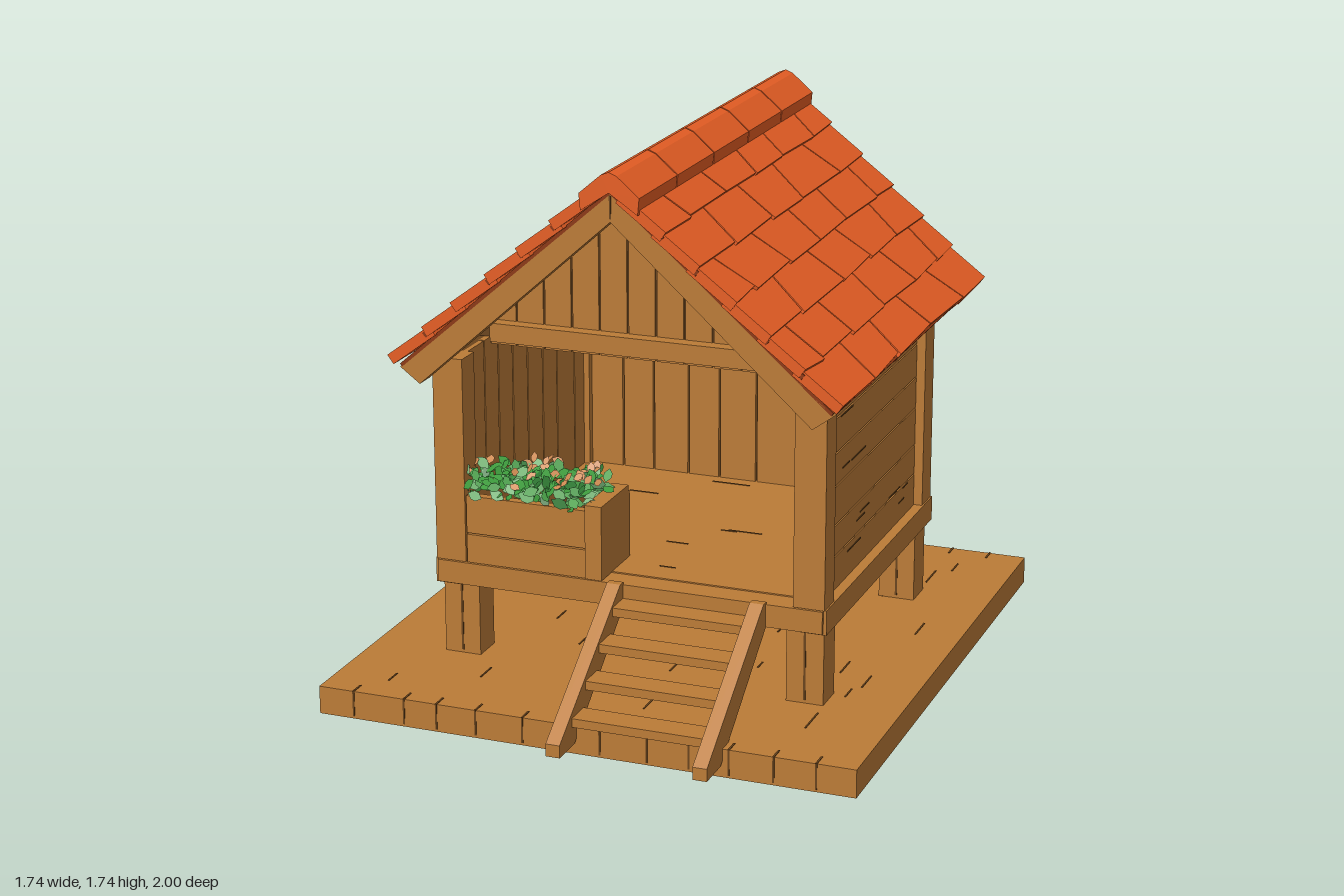
import * as THREE from 'three';

const mat = (name, color, extra = {}) => Object.assign(new THREE.MeshStandardMaterial({ color, ...extra }), { name });

export function createModel() {
  const root = new THREE.Group();
  root.name = 'woodenHut';
  const wood = mat('wood', 0xbb7b37);
  const dark = mat('darkSeam', 0x6a441c);
  const tileMat = mat('roofTile', 0xe65e24);
  const tileDark = mat('roofSeam', 0x8c3814);
  const leafA = mat('leafGreen', 0x3d9a3c, { side: THREE.DoubleSide });
  const leafB = mat('leafDarkGreen', 0x2c7430, { side: THREE.DoubleSide });
  const flower = mat('flowerTan', 0xcf8b52, { side: THREE.DoubleSide });

  let seed = 7;
  const rnd = (a = 0, b = 1) => {
    seed = (seed * 16807) % 2147483647;
    return a + (b - a) * seed / 2147483647;
  };
  const add = (name, geo, m, parent = root) => {
    const mesh = new THREE.Mesh(geo, m);
    mesh.name = name;
    parent.add(mesh);
    return mesh;
  };
  // Box given by its [min, max] range on each axis
  const box = (name, m, x, y, z, parent = root) => {
    const mesh = add(name, new THREE.BoxGeometry(x[1] - x[0], y[1] - y[0], z[1] - z[0]), m, parent);
    mesh.position.set((x[0] + x[1]) / 2, (y[0] + y[1]) / 2, (z[0] + z[1]) / 2);
    return mesh;
  };
  // Box divided into n boards along one axis, with slightly uneven widths
  const boards = (name, r, axis, n, gap) => {
    const [a, b] = r[axis], step = (b - a) / n;
    const cuts = [a];
    for (let i = 1; i < n; i++) cuts.push(a + step * (i + rnd(-0.15, 0.15)));
    cuts.push(b);
    for (let i = 0; i < n; i++) {
      const q = r.slice();
      q[axis] = [cuts[i] + (i ? gap / 2 : 0), cuts[i + 1] - (i < n - 1 ? gap / 2 : 0)];
      box(name, wood, ...q);
    }
  };
  // Outline in x and y, extruded from z0 to z1
  const prism = (name, m, pts, z0, z1, parent = root) => {
    const shape = new THREE.Shape(pts.map(p => new THREE.Vector2(...p)));
    const geo = new THREE.ExtrudeGeometry(shape, { depth: z1 - z0, bevelEnabled: false });
    geo.translate(0, 0, z0);
    return add(name, geo, m, parent);
  };
  // Roof-shaped outline: the right half (top apex to bottom apex), mirrored
  const chevron = (name, m, half, z0, z1) =>
    prism(name, m, [...half, ...half.slice(1, -1).reverse().map(([x, y]) => [-x, y])], z0, z1);

  // Ground platform: one slab with dark joints on the board ends
  box('platform', wood, [-0.87, 0.87], [0, 0.09], [-1, 0.87]);
  for (let i = 1; i < 13; i++) {
    const x = -0.87 + i * 0.134 + rnd(-0.02, 0.02);
    for (const z of [[0.82, 0.872], [-1.002, -0.95]]) box('boardJoint', dark, [x, x + 0.006], [0.008, 0.092], z);
  }
  for (let i = 0; i < 30; i++) {
    const x = rnd(-0.82, 0.82), z = rnd(-0.95, 0.7);
    box('grain', dark, [x, x + 0.005], [0.088, 0.092], [z, z + rnd(0.04, 0.13)]);
  }

  // Legs and sill frame
  for (const s of [-1, 1]) {
    const c = s * 0.57;
    for (const z of [[0.355, 0.46], [-0.59, -0.48]]) {
      box('leg', wood, [c - 0.06, c + 0.06], [0.09, 0.34], z);
      box('legSeam', dark, [c - 0.004, c + 0.003], [0.1, 0.32], [z[0] - 0.002, z[1] + 0.002]);
    }
    box('sideSill', wood, s > 0 ? [0.56, 0.645] : [-0.645, -0.56], [0.33, 0.41], [-0.62, 0.485]);
  }
  box('frontSill', wood, [-0.635, 0.635], [0.335, 0.408], [0.41, 0.495]);
  box('backSill', wood, [-0.64, 0.64], [0.335, 0.408], [-0.625, -0.54]);

  // Floor
  box('floor', wood, [-0.58, 0.58], [0.345, 0.412], [-0.56, 0.41]);
  for (let i = 0; i < 12; i++) {
    const x = rnd(-0.5, 0.35), z = rnd(-0.5, 0.38);
    box('grain', dark, [x, x + rnd(0.05, 0.14)], [0.41, 0.414], [z, z + 0.004]);
  }

  // Corner posts and side walls: level boards outside, upright boards inside
  for (const s of [-1, 1]) {
    const r = (a, b) => s > 0 ? [a, b] : [-b, -a];
    for (const z of [[0.4, 0.49], [-0.615, -0.52]]) box('cornerPost', wood, r(0.54, 0.64), [0.41, 1.07], z);
    boards('sideBoard', [r(0.59, 0.612), [0.41, 1.07], [-0.515, 0.395]], 1, 6, 0.005);
    box('sideWallCore', dark, r(0.575, 0.606), [0.41, 1.07], [-0.52, 0.4]);
    boards('sideLining', [r(0.56, 0.58), [0.41, 1.07], [-0.54, 0.4]], 2, 8, 0.006);
    for (let i = 0; i < 10; i++) {
      const y = rnd(0.45, 1), z = rnd(-0.5, 0.22);
      box('grain', dark, r(0.608, 0.614), [y, y + 0.004], [z, z + rnd(0.05, 0.15)]);
    }
  }

  // Back wall
  boards('backBoard', [[-0.54, 0.54], [0.41, 1.05], [-0.6, -0.58]], 1, 6, 0.005);
  box('backWallCore', dark, [-0.55, 0.55], [0.41, 1.06], [-0.595, -0.56]);
  boards('backLining', [[-0.56, 0.56], [0.41, 1.08], [-0.565, -0.545]], 0, 9, 0.006);
  for (let i = 0; i < 14; i++) {
    const x = rnd(-0.5, 0.35), y = rnd(0.45, 1);
    box('grain', dark, [x, x + rnd(0.05, 0.15)], [y, y + 0.004], [-0.602, -0.596]);
  }

  // Gables: upright boards cut to the roof line, with a tie beam
  const roofY = x => 1.645 - 0.873 * Math.abs(x);
  const gable = (z, beamZ, y0, y1) => {
    const n = 12, w = 1.12 / n;
    for (let i = 0; i < n; i++) {
      const a = -0.56 + i * w + 0.003, b = a + w - 0.006;
      prism('gableBoard', wood, [[a, 1.05], [b, 1.05], [b, roofY(b)], [a, roofY(a)]], z - 0.015, z + 0.015);
    }
    prism('gableCore', dark, [[-0.62, 1.06], [0.62, 1.06], [0.6, roofY(0.6)], [0, roofY(0)], [-0.6, roofY(0.6)]], z - 0.009, z + 0.009);
    box('tieBeam', wood, [-0.54, 0.54], [y0, y1], [beamZ - 0.03, beamZ + 0.03]);
  };
  gable(0.22, 0.25, 1.07, 1.13);
  gable(-0.575, -0.585, 1.04, 1.1);

  // Roof deck and barge boards
  chevron('roofDeck', wood, [[0, 1.665], [0.69, 1.065], [0.67, 1.045], [0, 1.635]], -0.87, 0.59);
  chevron('roofUnderlay', tileDark, [[0, 1.68], [0.695, 1.073], [0.688, 1.064], [0, 1.664]], -0.875, 0.6);
  for (const [a, b] of [[0.53, 0.6], [-0.87, -0.81]])
    chevron('bargeBoard', wood, [[0, 1.67], [0.695, 1.063], [0.63, 1.015], [0, 1.58]], a, b);
  for (const z of [0.6, -0.87]) box('bargeJoint', dark, [-0.003, 0.003], [1.59, 1.66], [z - 0.002, z + 0.002]);

  // Roof tiles: six overlapping rows on each slope
  const rows = 6, pitch = 0.143;
  for (const s of [1, -1]) {
    const side = new THREE.Group();
    side.name = s > 0 ? 'leftRoofSlope' : 'rightRoofSlope';
    side.position.set(0, 1.67, -0.14);
    side.rotation.y = s > 0 ? 0 : Math.PI;
    const slope = new THREE.Group();
    slope.rotation.z = -0.717;
    side.add(slope);
    root.add(side);
    for (let i = 0; i < rows; i++) {
      const low = 0.92 - i * pitch, half = 0.755 + 0.004 * i, w = 0.304;
      const cuts = [-half];
      for (let z = -half + (i % 2 ? w * 0.5 : w * 0.95); z < half - 0.08; z += w) cuts.push(z + rnd(-0.03, 0.03));
      cuts.push(half);
      const skews = cuts.map((c, k) => k && k < cuts.length - 1 ? rnd(-0.03, 0.03) : 0);
      for (let k = 0; k < cuts.length - 1; k++) {
        const geo = new THREE.BoxGeometry(0.17, 0.034, 1);
        const p = geo.attributes.position, drop = [rnd(-0.006, 0.008), rnd(-0.006, 0.008)];
        // Slant the joints and make the lower edge uneven
        for (let v = 0; v < p.count; v++) {
          const e = p.getZ(v) > 0 ? 1 : 0, u = Math.sign(p.getX(v));
          p.setZ(v, cuts[k + e] + skews[k + e] * u + (e ? -0.003 : 0.003));
          if (u > 0) p.setX(v, p.getX(v) + drop[e]);
        }
        geo.computeVertexNormals();
        const tile = add('roofTile', geo, tileMat, slope);
        tile.position.set(low - 0.085, 0.027, 0);
        tile.rotation.z = 0.075;
      }
      box('tileRowSeam', tileDark, [low - 0.06, low + 0.004], [0.016, 0.034], [-half + 0.004, half - 0.004], slope);
    }
  }
  // Ridge caps
  for (let i = 0; i < 5; i++) {
    const a = -0.92 + i * 0.314;
    const cap = chevron('ridgeCap', tileMat,
      [[0, 1.742], [0.025, 1.732], [0.095, 1.672], [0.09, 1.62], [0, 1.68]], a + 0.003, a + 0.311);
    cap.position.x = 0.015;
  }
  chevron('ridgeSeam', tileDark, [[0, 1.732], [0.09, 1.66], [0.085, 1.63], [0, 1.68]], -0.91, 0.64).position.x = 0.015;

  // Entrance ladder
  for (const x of [-0.055, 0.41]) {
    const rail = prism('ladderRail', wood, [[-0.49, 0.335], [-0.49, 0.415], [-0.515, 0.415], [-1, 0.08], [-1, 0.04], [-0.885, 0.04]], 0, 0.045);
    rail.rotation.y = Math.PI / 2;
    rail.position.x = x;
  }
  for (let i = 0; i < 4; i++) {
    const y = 0.115 + i * 0.078, z = 0.86 - i * 0.108;
    box('ladderTread', wood, [-0.012, 0.412], [y - 0.014, y + 0.014], [z - 0.045, z + 0.045]);
  }

  // Planter box
  boards('planterFront', [[-0.535, -0.13], [0.41, 0.63], [0.46, 0.49]], 1, 2, 0.005);
  box('planterCore', dark, [-0.53, -0.1], [0.41, 0.62], [0.285, 0.475]);
  box('planterBack', wood, [-0.535, -0.08], [0.41, 0.63], [0.26, 0.29]);
  box('planterEnd', wood, [-0.135, -0.08], [0.41, 0.65], [0.27, 0.495]);

  // Leaves and flowers
  const plants = new THREE.Group();
  plants.name = 'plants';
  root.add(plants);
  const leafShape = new THREE.Shape();
  leafShape.moveTo(0, 0);
  leafShape.quadraticCurveTo(0.055, 0.04, 0, 0.08);
  leafShape.quadraticCurveTo(-0.055, 0.04, 0, 0);
  const leafGeo = new THREE.ShapeGeometry(leafShape, 3);
  for (let i = 0; i < 260; i++) {
    const isFlower = i % 8 === 0;
    const leaf = add(isFlower ? 'flower' : 'leaf', leafGeo, isFlower ? flower : i % 4 ? leafA : leafB, plants);
    leaf.position.set(rnd(-0.54, -0.12), isFlower ? rnd(0.695, 0.712) : rnd(0.635, 0.7), rnd(0.31, 0.53));
    // Leaves lean outward with their faces up and to the front
    leaf.rotation.set(rnd(-1.3, -0.3), rnd(-0.6, 0.6), rnd(-2.4, 2.4));
    leaf.scale.setScalar(isFlower ? rnd(0.4, 0.55) : rnd(0.45, 0.75));
  }
  return root;
}
